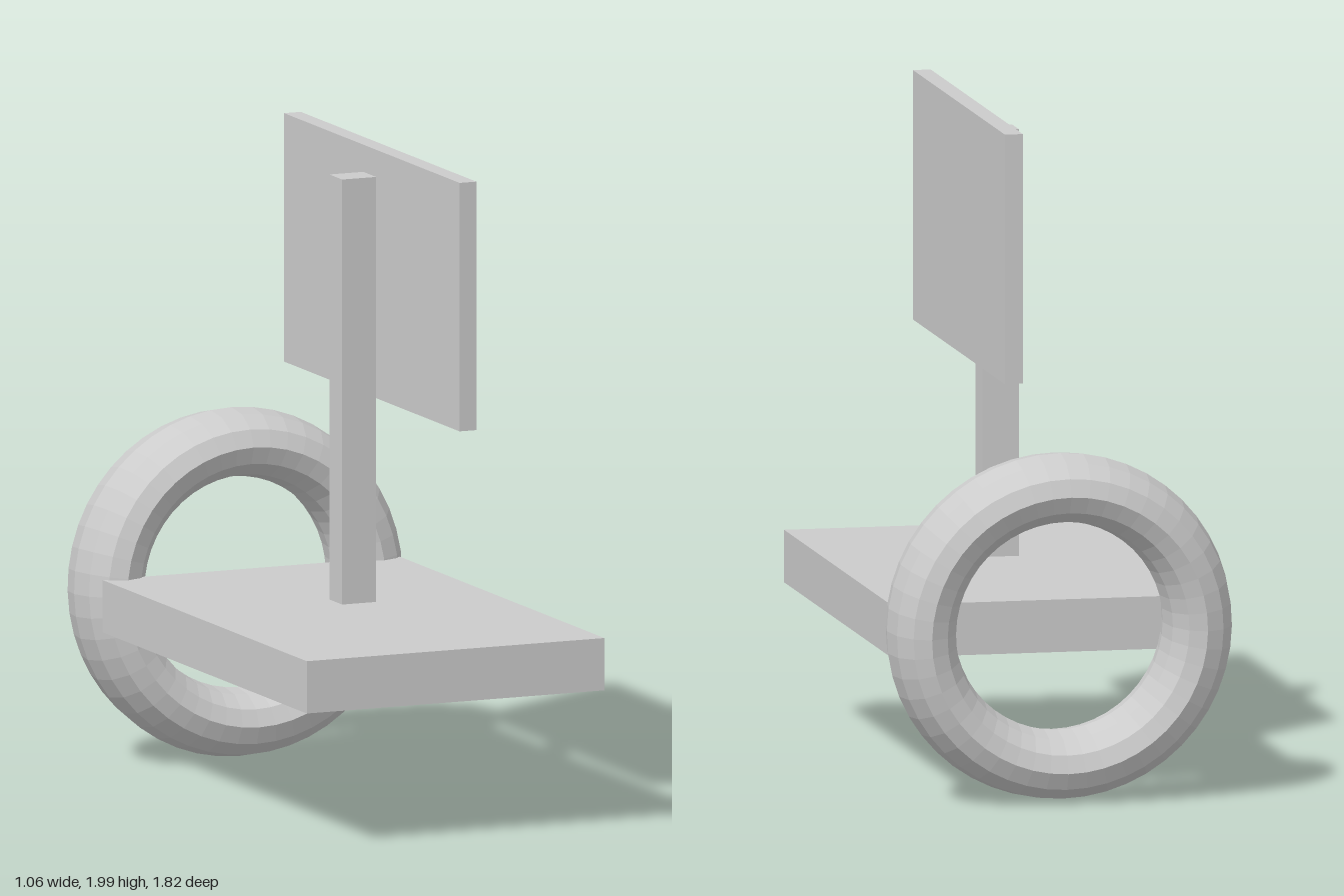
import * as THREE from 'three';

const material = new THREE.MeshStandardMaterial({ color: 0xcccccc, flatShading: true });

// Box given by its extents along each axis
function block(name, [x0, x1], [y0, y1], [z0, z1]) {
  const mesh = new THREE.Mesh(new THREE.BoxGeometry(x1 - x0, y1 - y0, z1 - z0), material);
  mesh.position.set((x0 + x1) / 2, (y0 + y1) / 2, (z0 + z1) / 2);
  mesh.name = name;
  return mesh;
}

export function createModel() {
  const model = new THREE.Group();
  model.name = 'wheeledSign';

  // Flat deck, upright post and the panel beside it
  model.add(
    block('deck', [-0.49, 0.49], [0.435, 0.595], [-0.61, 0.91]),
    block('post', [-0.057, 0.055], [0.62, 1.92], [0.1, 0.195]),
    block('panel', [0.062, 0.117], [1.24, 2], [-0.505, 0.8]),
  );

  // Ring wheel: oval section, wider than deep, leaning slightly back
  const ring = new THREE.TorusGeometry(0.425, 0.105, 12, 48);
  ring.scale(1, 1, 1.53);
  const wheel = new THREE.Mesh(ring, material);
  wheel.name = 'wheel';
  wheel.position.set(0, 0.535, -0.73);
  wheel.rotation.x = -0.05;
  model.add(wheel);

  return model;
}
